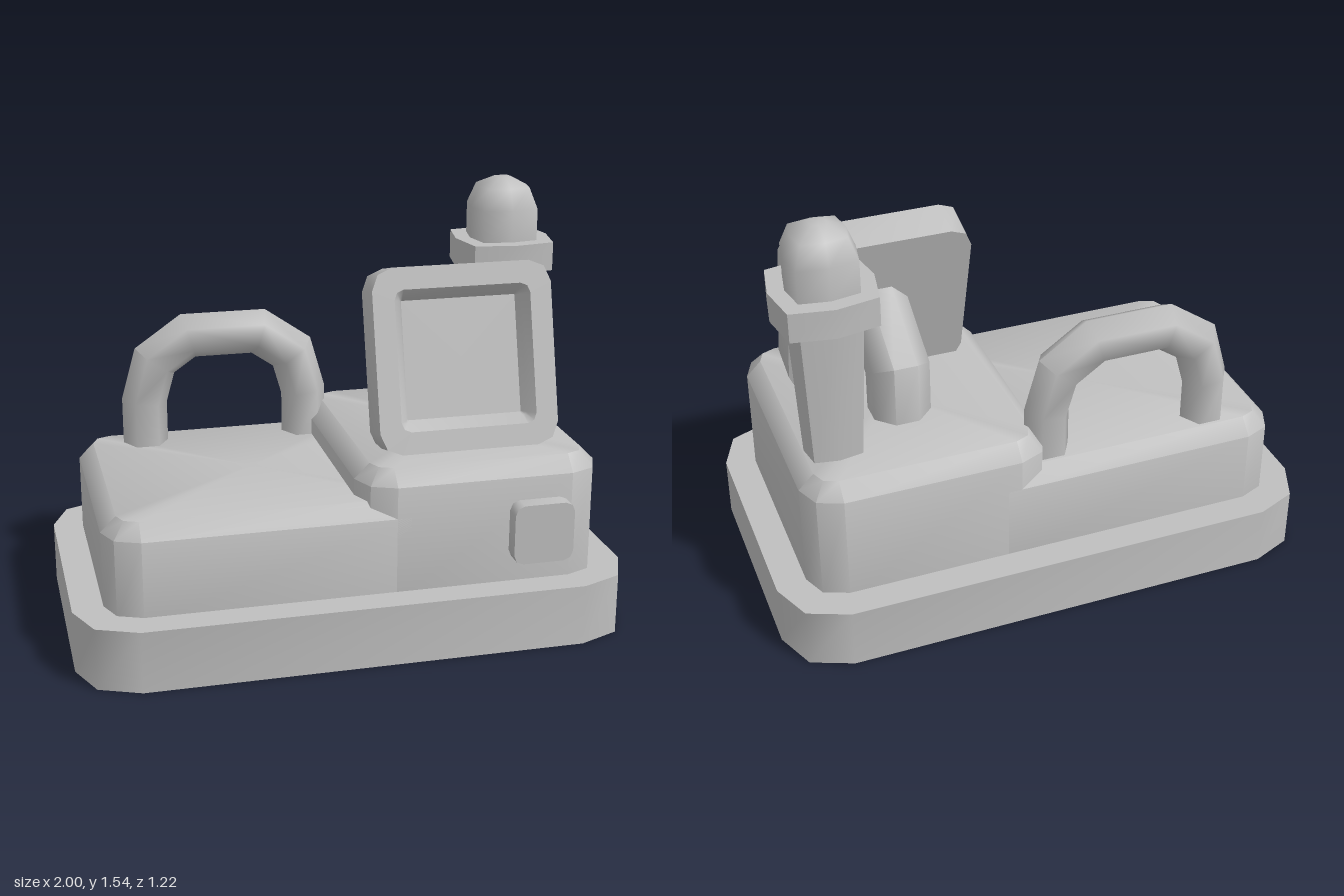
import * as THREE from 'three';
import { toCreasedNormals } from 'three/addons/utils/BufferGeometryUtils.js';

const V = (x, y, z) => new THREE.Vector3(x, y, z);

// Skin through rings that run counter-clockwise about the direction of travel, capped at both ends
function loft(rings, crease = 0.8) {
  const pos = [], idx = [], n = rings[0].length;
  rings.forEach(ring => ring.forEach(p => pos.push(p.x, p.y, p.z)));
  for (let i = 0; i < rings.length - 1; i++) {
    for (let j = 0; j < n; j++) {
      const a = i * n + j, b = i * n + (j + 1) % n;
      idx.push(a, b, b + n, a, b + n, a + n);
    }
  }
  [0, rings.length - 1].forEach((r, end) => {
    const c = rings[r].reduce((s, p) => s.add(p), V(0, 0, 0)).divideScalar(n);
    const ci = pos.length / 3;
    pos.push(c.x, c.y, c.z);
    for (let j = 0; j < n; j++) {
      const a = r * n + j, b = r * n + (j + 1) % n;
      if (end) idx.push(ci, a, b); else idx.push(ci, b, a);
    }
  });
  const g = new THREE.BufferGeometry();
  g.setAttribute('position', new THREE.Float32BufferAttribute(pos, 3));
  g.setIndex(idx);
  return toCreasedNormals(g, crease);
}

// Horizontal rounded rectangle, two segments per corner
function roundRect(hw, hd, r, y) {
  const pts = [];
  [[1, 1], [-1, 1], [-1, -1], [1, -1]].forEach(([sx, sz], q) => {
    for (let k = 0; k < 3; k++) {
      const t = q * Math.PI / 2 + k * Math.PI / 4;
      pts.push(V(sx * (hw - r) + r * Math.cos(t), y, -sz * (hd - r) - r * Math.sin(t)));
    }
  });
  return pts;
}

// Squarish eight-point ring for the lamp post
function squircle(r, y) {
  return Array.from({ length: 8 }, (_, i) => {
    const t = i * Math.PI / 4, k = i % 2 ? r * 1.2 : r;
    return V(k * Math.cos(t), y, -k * Math.sin(t));
  });
}

// Pipe with mitred joints along a flat path; side is the normal of the path's plane
function pipe(path, side, sides, radius, turn = 0) {
  const rings = path.map((p, i) => {
    const t0 = p.clone().sub(path[Math.max(i - 1, 0)]).normalize();
    const t1 = path[Math.min(i + 1, path.length - 1)].clone().sub(p).normalize();
    const t = t0.clone().add(t1).normalize();
    const ends = i === 0 || i === path.length - 1;
    const mitre = ends ? 1 : 1 / t.dot(t0);
    const across = side.clone().cross(t);
    return Array.from({ length: sides }, (_, j) => {
      const a = turn + j * 2 * Math.PI / sides;
      return p.clone()
        .addScaledVector(across, radius * mitre * Math.cos(a))
        .addScaledVector(side, radius * Math.sin(a));
    });
  });
  return loft(rings, 1.2);
}

export function createModel() {
  const model = new THREE.Group();
  const grey = new THREE.MeshStandardMaterial({ color: 0xbfbfbf });
  grey.name = 'plain grey';
  const add = (name, geometry, x = 0, y = 0, z = 0, tilt = 0) => {
    const mesh = new THREE.Mesh(geometry, grey);
    mesh.name = name;
    mesh.position.set(x, y, z);
    mesh.rotation.x = tilt;
    model.add(mesh);
  };

  // Base slab
  add('base', loft([roundRect(1, 0.61, 0.21, 0), roundRect(1, 0.61, 0.21, 0.225)]));

  // Two housing blocks with a chamfered top
  const block = (hw, top) => loft([
    roundRect(hw, 0.5, 0.125, 0.2),
    roundRect(hw, 0.5, 0.125, top - 0.055),
    roundRect(hw - 0.055, 0.445, 0.07, top),
  ]);
  add('lowHousing', block(0.595, 0.555), -0.295);
  add('tallHousing', block(0.445, 0.67), 0.445);

  // Front button
  add('button', loft([roundRect(0.11, 0.11, 0.035, -0.03), roundRect(0.11, 0.11, 0.035, 0.06)]),
    0.645, 0.42, 0.5, Math.PI / 2);

  // Tilted screen: shell, bevelled rim and sunken face
  add('screen', loft([
    roundRect(0.332, 0.332, 0.08, -0.145),
    roundRect(0.332, 0.332, 0.08, 0),
    roundRect(0.252, 0.252, 0.035, 0),
    roundRect(0.225, 0.225, 0.012, -0.035),
    roundRect(0.213, 0.213, 0.004, -0.06),
  ]), 0.443, 0.99, 0.247, THREE.MathUtils.degToRad(75));

  // Bent arm behind the screen
  add('screenArm', pipe([V(0.443, 0.6, -0.1), V(0.443, 0.84, -0.1), V(0.443, 0.985, 0.15)],
    V(1, 0, 0), 8, 0.1137, Math.PI / 8));

  // Carrying handle, mirrored about its middle
  const half = [[0.308, 0.5], [0.308, 0.72], [0.265, 0.872], [0.135, 0.962]];
  const arch = [
    ...half.map(([x, y]) => V(-0.327 - x, y, -0.36)),
    ...half.slice().reverse().map(([x, y]) => V(-0.327 + x, y, -0.36)),
  ];
  add('handle', pipe(arch, V(0, 0, 1), 6, 0.085));

  // Lamp: flared post, collar and dome
  const lx = 0.728, lz = -0.232;
  add('lampPost', loft([squircle(0.1, 0.62), squircle(0.128, 1.21)]), lx, 0, lz);
  add('lampCollar', loft([squircle(0.18, 1.205), squircle(0.18, 1.312)]), lx, 0, lz);
  add('lampDome', loft([
    squircle(0.123, 1.3), squircle(0.123, 1.43), squircle(0.093, 1.507), squircle(0.03, 1.54),
  ], 1.45), lx, 0, lz);

  return model;
}
